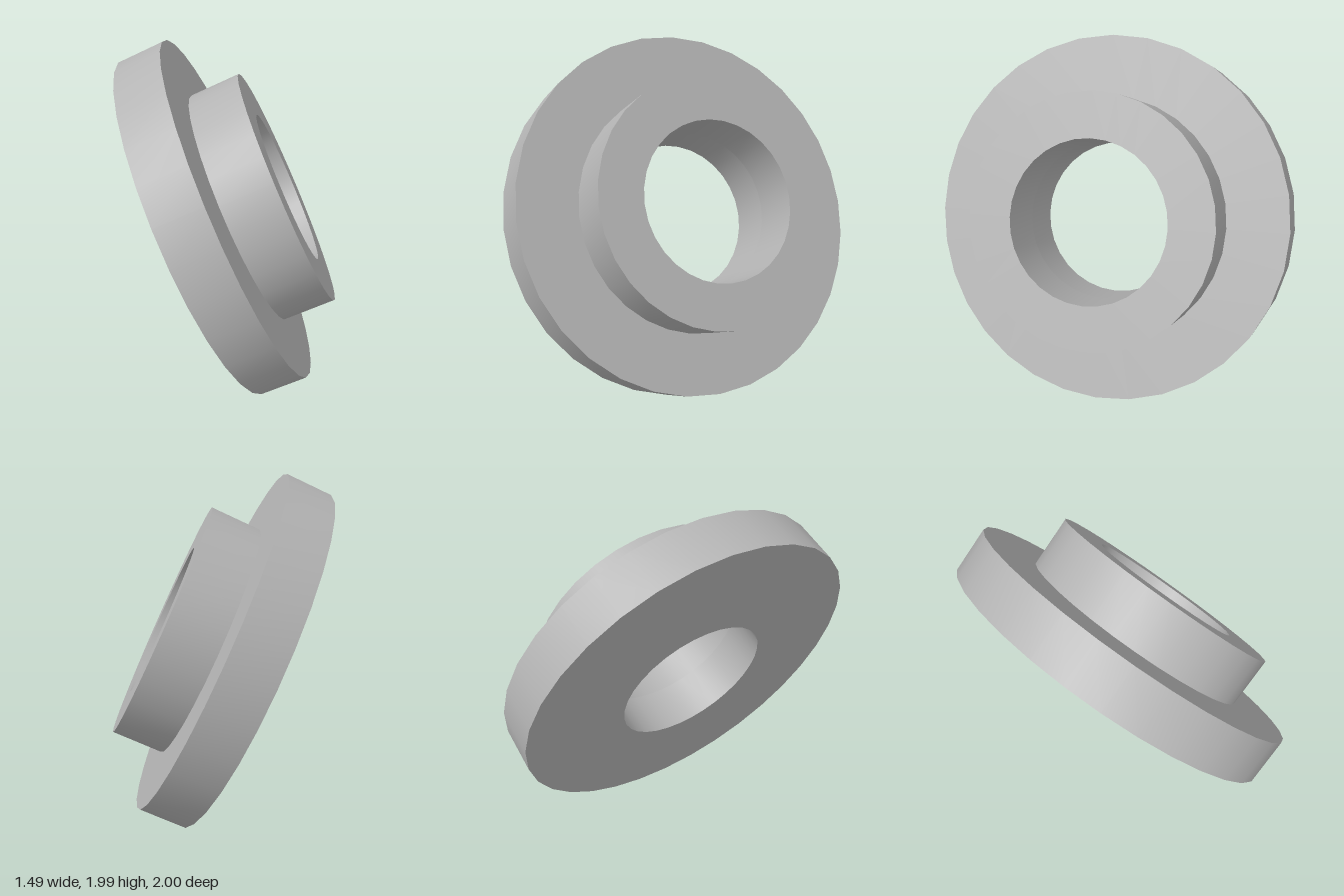
import * as THREE from 'three';
import { toCreasedNormals } from 'three/addons/utils/BufferGeometryUtils.js';

const SIDES = 32;
const BORE = 0.451, HUB = 0.702, FLANGE = 1.041; // radii
const STEP = 0.267, LENGTH = 0.562;              // heights along the axis

export function createModel() {
  const model = new THREE.Group();
  model.name = 'flangedBushing';
  const metal = new THREE.MeshStandardMaterial({ color: 0xb4b4b4 });
  metal.name = 'plain grey';

  // Tilted axis running from the flange face to the hub face
  const axis = new THREE.Vector3(0.805, 0.42, -0.42).normalize();
  const body = new THREE.Group();
  body.name = 'tiltedBody';
  body.quaternion.setFromUnitVectors(new THREE.Vector3(0, 1, 0), axis);
  body.position.set(-0.128, 0.944, 0.056);
  model.add(body);

  // Turned ring with smooth walls and sharp rims
  const turned = (name, profile) => {
    const points = profile.map(([r, y]) => new THREE.Vector2(r, y));
    const mesh = new THREE.Mesh(toCreasedNormals(new THREE.LatheGeometry(points, SIDES), 0.6), metal);
    mesh.name = name;
    body.add(mesh);
  };

  // Wide flange with the lower half of the bore
  turned('flange', [[BORE, STEP], [BORE, 0], [FLANGE, 0], [FLANGE, STEP], [HUB, STEP]]);
  // Narrower hub with the upper half of the bore
  turned('hub', [[HUB, STEP], [HUB, LENGTH], [BORE, LENGTH], [BORE, STEP]]);

  return model;
}
